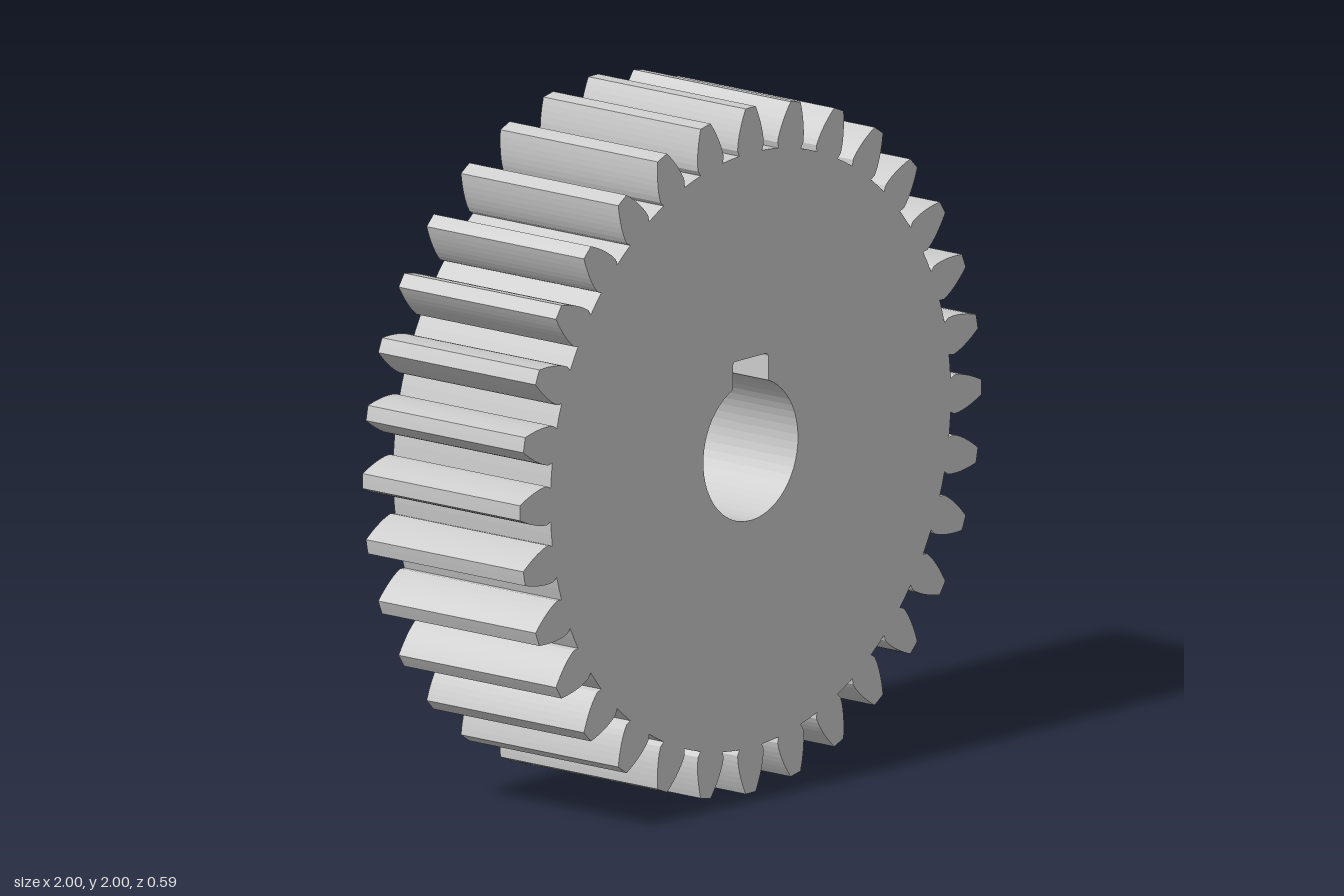
import * as THREE from 'three';

const TEETH = 32;
const TIP = 1;                               // outer radius
const MODULE = (2 * TIP) / (TEETH + 2);
const PITCH = (MODULE * TEETH) / 2;
const ROOT = PITCH - 1.25 * MODULE;
const PRESSURE = THREE.MathUtils.degToRad(20);
const BASE = PITCH * Math.cos(PRESSURE);     // involute base circle
const WIDTH = 0.59;
const BORE = 0.205;
const KEY_HALF = 0.077, KEY_TOP = 0.27, KEY_FILLET = 0.012;

const inv = (a) => Math.tan(a) - a;

// Half the angle a tooth spans at radius r (involute flank)
const halfAngle = (r) => Math.PI / (2 * TEETH) + inv(PRESSURE) - inv(Math.acos(BASE / r));

// Outline of all teeth, counter-clockwise
function gearOutline() {
  const flank = [[ROOT, 0.056]];
  const steps = 7;
  for (let i = 0; i <= steps; i++) {
    const r = THREE.MathUtils.lerp(BASE, TIP, i / steps);
    flank.push([r, halfAngle(r)]);
  }
  const points = [];
  const add = (r, a) => points.push(new THREE.Vector2(r * Math.cos(a), r * Math.sin(a)));
  for (let t = 0; t < TEETH; t++) {
    const mid = (t / TEETH) * Math.PI * 2;
    flank.forEach(([r, a]) => add(r, mid - a));
    add(TIP, mid);
    [...flank].reverse().forEach(([r, a]) => add(r, mid + a));
    add(ROOT, mid + Math.PI / TEETH);
  }
  return points;
}

// Round bore with a keyway slot at the top
function boreWithKeyway() {
  const hole = new THREE.Path();
  const a = Math.acos(KEY_HALF / BORE);
  hole.absarc(0, 0, BORE, Math.PI - a, Math.PI * 2 + a, false);
  hole.lineTo(KEY_HALF, KEY_TOP - KEY_FILLET);
  hole.absarc(KEY_HALF - KEY_FILLET, KEY_TOP - KEY_FILLET, KEY_FILLET, 0, Math.PI / 2, false);
  hole.absarc(-KEY_HALF + KEY_FILLET, KEY_TOP - KEY_FILLET, KEY_FILLET, Math.PI / 2, Math.PI, false);
  hole.closePath();
  // Resample: many points on the round parts
  return new THREE.Path(hole.getPoints(24));
}

export function createModel() {
  const group = new THREE.Group();
  group.name = 'spurGear';

  const shape = new THREE.Shape(gearOutline());
  shape.holes.push(boreWithKeyway());
  const geometry = new THREE.ExtrudeGeometry(shape, { depth: WIDTH, bevelEnabled: false });
  geometry.translate(0, TIP, -WIDTH / 2);

  const gear = new THREE.Mesh(geometry, new THREE.MeshStandardMaterial({ color: 0xcccccc }));
  gear.name = 'toothedWheel';
  group.add(gear);
  return group;
}
